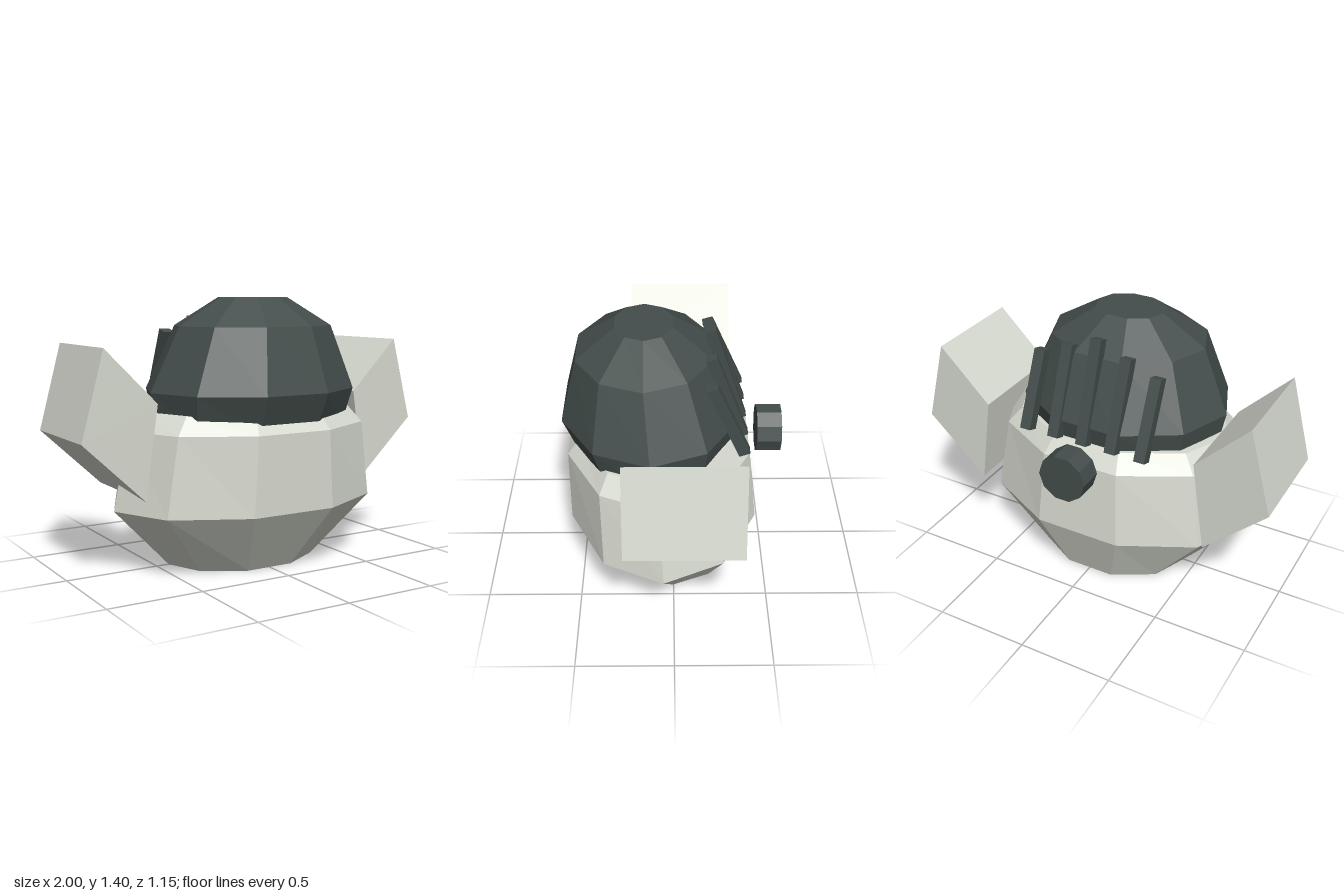
import * as THREE from 'three';

const SIDES = 10;
const shell = new THREE.MeshStandardMaterial({ color: 0xd6d9cf, flatShading: true });
const dark = new THREE.MeshStandardMaterial({ color: 0x434d4b, flatShading: true });

// Closed loft through ten-sided elliptical rings, listed bottom to top as [y, radiusX, radiusZ, centreZ]
function loft(rings) {
  const positions = [];
  const point = ([y, rx, rz, cz], i) => {
    const a = (i / SIDES) * Math.PI * 2;
    return [rx * Math.cos(a), y, cz + rz * Math.sin(a)];
  };
  const tri = (...corners) => corners.forEach((c) => positions.push(...c));
  const low = rings[0];
  const high = rings[rings.length - 1];
  for (let i = 0; i < SIDES; i++) {
    for (let r = 0; r < rings.length - 1; r++) {
      const a = point(rings[r], i), b = point(rings[r + 1], i);
      const a2 = point(rings[r], i + 1), b2 = point(rings[r + 1], i + 1);
      tri(a, b, b2);
      tri(a, b2, a2);
    }
    tri([0, low[0], low[3]], point(low, i), point(low, i + 1));
    tri([0, high[0], high[3]], point(high, i + 1), point(high, i));
  }
  const geometry = new THREE.BufferGeometry();
  geometry.setAttribute('position', new THREE.Float32BufferAttribute(positions, 3));
  geometry.computeVertexNormals();
  return geometry;
}

// Flat polygon given depth along z
function prism(points, depth) {
  const shape = new THREE.Shape(points.map(([x, y]) => new THREE.Vector2(x, y)));
  return new THREE.ExtrudeGeometry(shape, { depth, bevelEnabled: false });
}

export function createModel() {
  const model = new THREE.Group();
  model.name = 'model';
  const add = (name, geometry, material) => {
    const mesh = new THREE.Mesh(geometry, material);
    mesh.name = name;
    model.add(mesh);
    return mesh;
  };

  // Faceted body, narrow at the base
  add('body', loft([
    [0, 0.43, 0.334, 0.003],
    [0.335, 0.76, 0.523, 0.053],
    [0.74, 0.687, 0.5, 0.075],
    [0.83, 0.605, 0.425, 0.077],
  ]), shell);

  // Dark dome sunk into the top of the body
  add('dome', loft([
    [0.74, 0.545, 0.42, 0.1],
    [0.93, 0.58, 0.48, 0.117],
    [1.26, 0.43, 0.363, 0.146],
    [1.405, 0.19, 0.155, 0.147],
  ]), dark);

  // Shoulder blocks, flaring outward
  for (const side of [1, -1]) {
    const outline = [[0.67, 0.41], [1, 0.72], [0.88, 1.17], [0.6, 0.89]];
    const block = prism(outline.map(([x, y]) => [side * x, y]), 0.57);
    block.translate(0, 0, -0.33);
    add(side > 0 ? 'leftShoulder' : 'rightShoulder', block, shell);
  }

  // Leaning bars behind the dome, tallest in the middle
  for (let i = -2; i <= 2; i++) {
    const top = 1.37 - 0.067 * Math.abs(i);
    const bar = prism([[-0.388, 0.85], [-0.333, 0.83], [-0.16, top - 0.016], [-0.216, top]], 0.06);
    bar.rotateY(-Math.PI / 2);
    bar.translate(i * 0.166 + 0.03, 0, 0);
    add('backBar', bar, dark);
  }

  // Round knob at the back
  const knob = new THREE.CylinderGeometry(0.13, 0.13, 0.13, SIDES);
  knob.rotateY(Math.PI / 2);
  knob.rotateX(Math.PI / 2);
  add('backKnob', knob, dark).position.set(0, 0.755, -0.51);

  return model;
}
